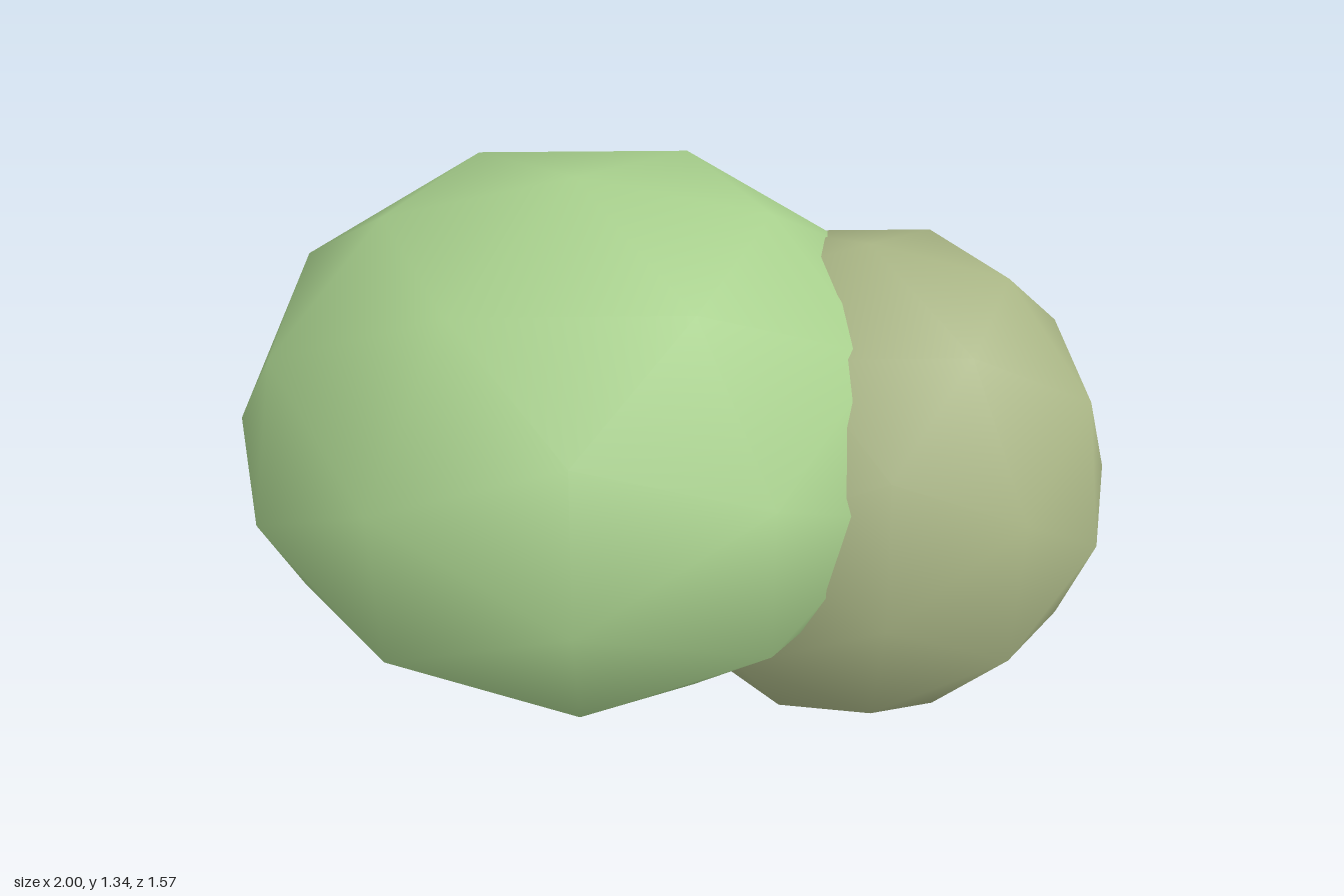
import * as THREE from 'three';

const leafGreen = new THREE.MeshStandardMaterial({ name: 'leafGreen', color: 0xa8d08d });
const oliveGreen = new THREE.MeshStandardMaterial({ name: 'oliveGreen', color: 0xa9b585 });

// A low-poly foliage clump: smooth-shaded icosphere, optionally squashed
function clump(name, material, radius, squash, x, y) {
  const geometry = new THREE.IcosahedronGeometry(radius, 1);
  geometry.scale(1, squash, 1);
  const mesh = new THREE.Mesh(geometry, material);
  mesh.name = name;
  mesh.position.set(x, y, 0);
  return mesh;
}

export function createModel() {
  const bush = new THREE.Group();
  bush.name = 'bush';
  // Wide flattened clump and the smaller round clump that overlaps it
  bush.add(clump('largeClump', leafGreen, 0.784, 0.75, -0.216, 0.748));
  bush.add(clump('smallClump', oliveGreen, 0.588, 1, 0.412, 0.588));
  return bush;
}
